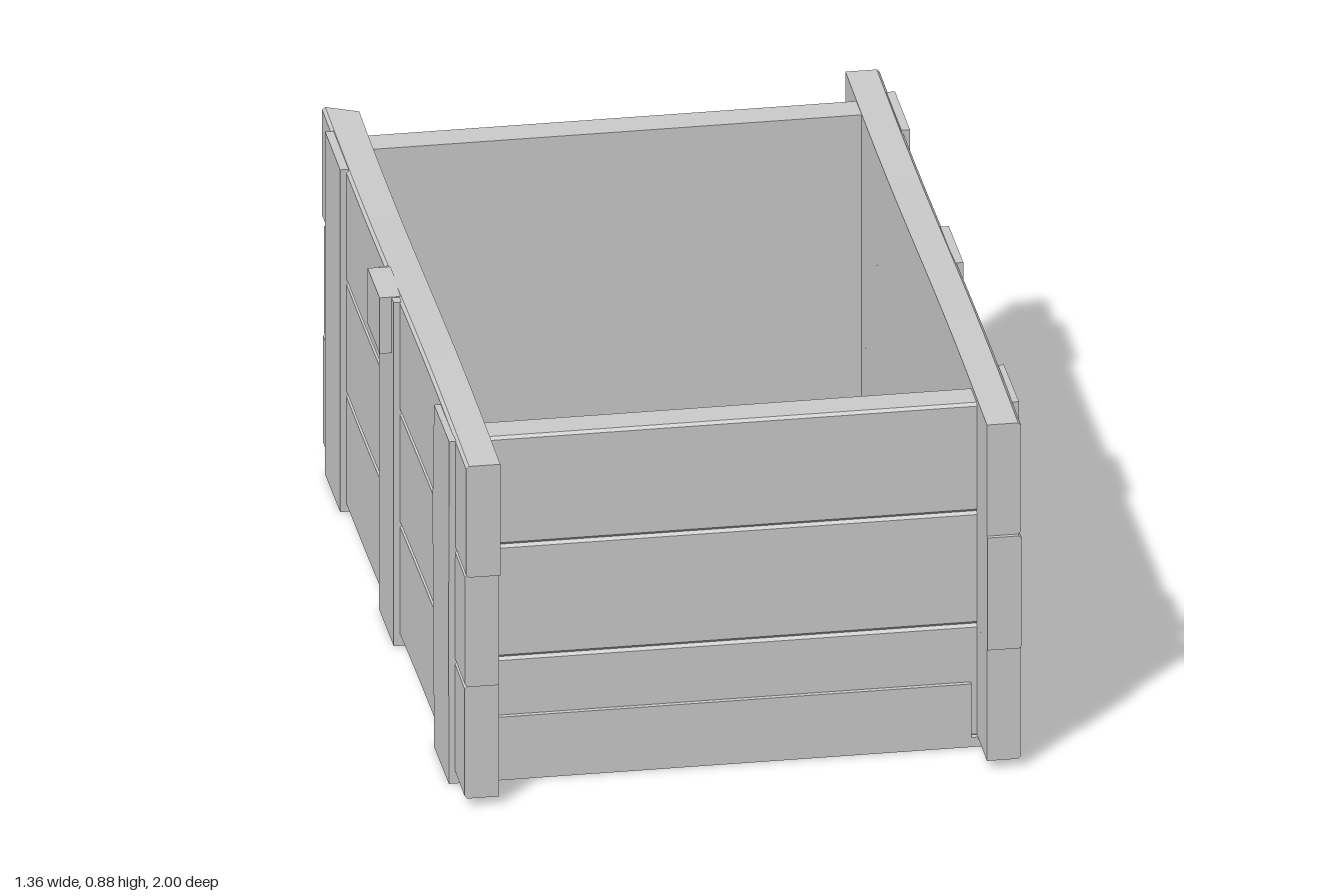
import * as THREE from 'three';

const material = new THREE.MeshStandardMaterial({ color: 0xcccccc, flatShading: true });
const GAP = 0.007; // depth of the groove between two planks

// Gentle bend of the long planks along their length
const wave = (z) => 0.008 * Math.sin(Math.PI * z);

function add(group, name, geometry) {
  geometry.computeVertexNormals();
  const mesh = new THREE.Mesh(geometry, material);
  mesh.name = name;
  group.add(mesh);
  return mesh;
}

// Plank running along z from z0 to z1; its outer face (+x) has chamfered edges
function plankGeometry(thickness, y0, y1, z0, z1, steps = 1) {
  const t = thickness, c = GAP;
  const shape = new THREE.Shape([
    [0, y0], [t - c, y0], [t, y0 + c], [t, y1 - c], [t - c, y1], [0, y1],
  ].map(([x, y]) => new THREE.Vector2(x, y)));
  const g = new THREE.ExtrudeGeometry(shape, { depth: z1 - z0, steps, bevelEnabled: false });
  return g.translate(0, 0, z0);
}

// Moves every vertex by a rule
function reshape(g, rule) {
  const p = g.attributes.position;
  const v = new THREE.Vector3();
  for (let i = 0; i < p.count; i++) {
    v.fromBufferAttribute(p, i);
    rule(v);
    p.setXYZ(i, v.x, v.y, v.z);
  }
  return g;
}

// Box given by its limits
function slab(group, name, x0, x1, y0, y1, z0, z1) {
  const g = new THREE.BoxGeometry(x1 - x0, y1 - y0, z1 - z0);
  g.translate((x0 + x1) / 2, (y0 + y1) / 2, (z0 + z1) / 2);
  return add(group, name, g);
}

export function createModel() {
  const crate = new THREE.Group();
  crate.name = 'crate';
  const rows = [[0.02, 0.305], [0.305, 0.59], [0.59, 0.872]];

  // Long side walls: three wavy planks each, with uneven ends
  const ends = {
    left: [[-0.995, 0.975], [-0.97, 0.985], [-0.99, 0.975]],
    right: [[-0.985, 0.98], [-0.97, 0.985], [-1.0, 1.0]],
  };
  rows.forEach(([y0, y1], i) => {
    const l = plankGeometry(0.08, y0, y1, ...ends.left[i], 20);
    l.translate(0.58, 0, 0);
    add(crate, 'leftSidePlank', reshape(l, (v) => { v.y += wave(v.z); }));

    const r = plankGeometry(0.08, y0, y1, -ends.right[i][1], -ends.right[i][0], 20);
    r.rotateY(Math.PI).translate(-0.56, 0, 0);
    add(crate, 'rightSidePlank', reshape(r, (v) => {
      v.y += wave(v.z);
      // the top plank is sawn off at a slant at the back
      if (i === 2 && v.z < -0.95) v.z += (v.x + 0.64) * 0.5;
    }));
  });

  // End walls: three planks and a low batten each
  for (const [name, turn, z] of [['front', -1, 0.755], ['back', 1, -0.765]]) {
    const place = (g) => g.rotateY(turn * Math.PI / 2).translate(0.01, 0, z);
    for (const [y0, y1] of rows) {
      add(crate, name + 'EndPlank', place(plankGeometry(0.083, y0, Math.min(y1, 0.865), -0.57, 0.57)));
    }
    slab(crate, name + 'Batten', -0.55, 0.565, 0.012, 0.16,
      z > 0 ? 0.83 : -0.872, z > 0 ? 0.85 : -0.84);
  }

  // Floor boards with narrow gaps
  const seams = [-0.56, -0.27, 0.005, 0.29, 0.58];
  for (let i = 0; i < 4; i++) {
    slab(crate, 'floorBoard', seams[i] + 0.002, seams[i + 1] - 0.002, 0.022, 0.06, -0.78, 0.77);
  }

  // Straps: uprights on both sides joined by a band under the floor
  const straps = [
    [[0.645, 0], [0.85, 0], [0.848, 0.45], [0.855, 0.87], [0.645, 0.868], [0.623, 0.6], [0.635, 0.3]],
    [[-0.12, 0], [0.085, 0], [0.082, 0.87], [-0.12, 0.87]],
    [[-0.87, 0], [-0.66, 0], [-0.66, 0.868], [-0.868, 0.87]],
  ];
  for (const outline of straps) {
    for (const x of [-0.655, 0.655]) {
      const shape = new THREE.Shape(outline.map(([z, y]) => new THREE.Vector2(-z, y)));
      const g = new THREE.ExtrudeGeometry(shape, { depth: 0.02, bevelEnabled: false });
      add(crate, x > 0 ? 'leftStrap' : 'rightStrap', g.rotateY(Math.PI / 2).translate(x, 0, 0));
    }
    slab(crate, 'bottomBand', -0.65, 0.67, 0, 0.024, outline[0][0], outline[1][0]);
  }

  // Small latch block on the right side
  slab(crate, 'latchBlock', -0.683, -0.63, 0.73, 0.872, -0.11, 0.055);

  return crate;
}
